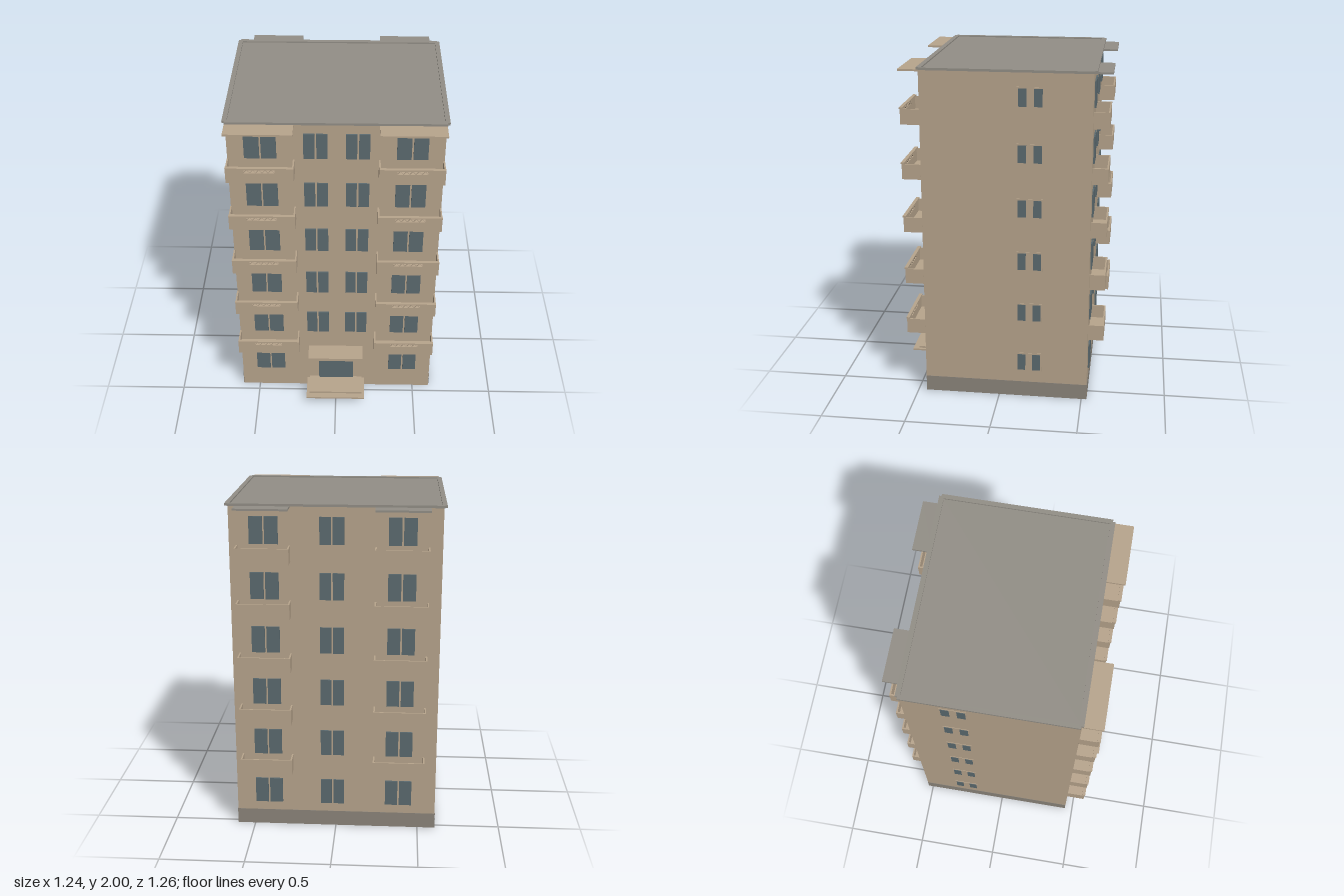
import * as THREE from 'three';

const paint = (name, color) => {
  const m = new THREE.MeshStandardMaterial({ color });
  m.name = name;
  return m;
};

export function createModel() {
  const tan = paint('tan wall', 0xb8a58d);
  tan.side = THREE.DoubleSide;
  const grey = paint('grey roof', 0x938f87);
  const plinthGrey = paint('grey plinth', 0x8c857b);
  const glass = paint('blue grey glass', 0x5c6b70);

  const model = new THREE.Group();
  model.name = 'apartmentBlock';

  // Box given by its limits on each axis
  const box = (parent, name, mat, x0, x1, y0, y1, z0, z1) => {
    const mesh = new THREE.Mesh(new THREE.BoxGeometry(x1 - x0, y1 - y0, z1 - z0), mat);
    mesh.position.set((x0 + x1) / 2, (y0 + y1) / 2, (z0 + z1) / 2);
    mesh.name = name;
    parent.add(mesh);
    return mesh;
  };
  const group = (name) => {
    const g = new THREE.Group();
    g.name = name;
    model.add(g);
    return g;
  };

  const W = 0.605, FRONT = 0.45, BACK = -0.53, TOP = 1.985, STOREY = 0.3235;
  const midZ = (FRONT + BACK) / 2, depth = FRONT - BACK;

  // Hollow shell, open underneath
  const walls = group('walls');
  const wall = (name, width, x, z, turn) => {
    const mesh = new THREE.Mesh(new THREE.PlaneGeometry(width, TOP), tan);
    mesh.position.set(x, TOP / 2, z);
    mesh.rotation.y = turn;
    mesh.name = name;
    walls.add(mesh);
  };
  wall('frontWall', 2 * W, 0, FRONT, 0);
  wall('backWall', 2 * W, 0, BACK, Math.PI);
  wall('leftWall', depth, W, midZ, Math.PI / 2);
  wall('rightWall', depth, -W, midZ, -Math.PI / 2);

  // Plinth band on the sides and back
  const plinth = group('plinth');
  for (const s of [-1, 1]) {
    const x = s * (W + 0.0015);
    box(plinth, 'sidePlinth', plinthGrey, x - 0.001, x + 0.001, 0, 0.095, BACK, FRONT);
  }
  box(plinth, 'backPlinth', plinthGrey, -W, W, 0, 0.095, BACK - 0.0025, BACK - 0.0005);

  // Roof deck with a raised rim
  const roof = group('roof');
  box(roof, 'roofDeck', grey, -0.6, 0.6, 1.97, 1.992, -0.525, 0.445);
  for (const s of [-1, 1]) {
    box(roof, 'sideRim', grey, Math.min(s * 0.595, s * 0.622), Math.max(s * 0.595, s * 0.622), 1.986, 2, -0.535, 0.446);
  }
  box(roof, 'frontRim', grey, -0.608, 0.608, 1.986, 2, 0.432, 0.46);
  box(roof, 'backRim', grey, -0.608, 0.608, 1.986, 2, -0.548, -0.52);

  // Two-pane windows on the front and back
  const windows = group('windows');
  const pairWindow = (x0, x1, y, z) => {
    const mid = (x0 + x1) / 2, gap = 0.005;
    box(windows, 'windowPane', glass, x0, mid - gap, y, y + 0.158, z - 0.009, z + 0.009);
    box(windows, 'windowPane', glass, mid + gap, x1, y, y + 0.158, z - 0.009, z + 0.009);
  };

  // Side window: thin frame with a pane at each end
  const sideWindow = (s, y, z) => {
    const at = (name, mat, a, b, c, d, out) => {
      const x = s * W;
      box(windows, name, mat, x - out, x + out, y + c, y + d, z + a, z + b);
    };
    at('sideWindowFrame', tan, -0.076, 0.076, -0.06, 0.06, 0.003);
    for (const k of [-1, 1]) {
      at('sideWindowPane', glass, k * 0.045 - 0.024, k * 0.045 + 0.024, -0.051, 0.051, 0.005);
    }
  };

  for (let i = 0; i < 6; i++) {
    const y = 0.152 + i * STOREY;
    for (const [a, b] of [[-0.51, -0.33], [0.338, 0.512]]) pairWindow(a, b, y, FRONT);
    if (i > 0) for (const [a, b] of [[-0.18, -0.045], [0.057, 0.19]]) pairWindow(a, b, y, FRONT);
    for (const [a, b] of [[-0.46, -0.3], [-0.05, 0.09], [0.325, 0.49]]) pairWindow(a, b, y, BACK);
    sideWindow(1, 0.226 + i * STOREY, -0.18);
    sideWindow(-1, 0.226 + i * STOREY, -0.245);
  }

  // Front parapet panel with a slot filled by a zigzag lattice
  const parapet = (parent, x0, x1, cx, y) => {
    const shape = new THREE.Shape();
    shape.moveTo(x0, 0).lineTo(x1, 0).lineTo(x1, 0.09).lineTo(x0, 0.09).closePath();
    const a = cx - 0.085, b = cx + 0.085, lo = 0.066, hi = 0.086;
    const slot = new THREE.Path();
    slot.moveTo(a, lo).lineTo(a, hi).lineTo(b, hi).lineTo(b, lo).closePath();
    shape.holes.push(slot);
    const panel = new THREE.Mesh(new THREE.ExtrudeGeometry(shape, { depth: 0.009, bevelEnabled: false }), tan);
    panel.position.set(0, y, 0.551);
    panel.name = 'balconyFront';
    parent.add(panel);
    const n = 10, step = (b - a) / n;
    for (let k = 0; k < n; k++) {
      const cxk = a + (k + 0.5) * step;
      const bar = box(parent, 'latticeBar', tan, cxk - 0.013, cxk + 0.013, y + 0.0745, y + 0.0775, 0.553, 0.558);
      bar.rotation.z = (k % 2 ? -1 : 1) * Math.atan2(hi - lo, step);
    }
  };

  // Balconies on five upper storeys
  const frontBays = [[-0.608, -0.23, -0.42], [0.24, 0.606, 0.425]];
  const backBays = [[-0.533, -0.225], [0.257, 0.565]];
  const balconies = group('balconies');
  for (let i = 0; i < 5; i++) {
    const y = 0.38 + i * STOREY * 0.997;
    for (const [x0, x1, cx] of frontBays) {
      box(balconies, 'balconyFloor', tan, x0, x1, y, y + 0.014, FRONT, 0.56);
      box(balconies, 'balconyEnd', tan, x0, x0 + 0.009, y, y + 0.09, FRONT, 0.56);
      box(balconies, 'balconyEnd', tan, x1 - 0.009, x1, y, y + 0.09, FRONT, 0.56);
      parapet(balconies, x0, x1, cx, y);
      box(balconies, 'balconyRail', tan, x0, x1, y + 0.09, y + 0.099, 0.545, 0.565);
    }
    for (const [x0, x1] of backBays) {
      box(balconies, 'balconyFloor', tan, x0, x1, y - 0.004, y + 0.01, -0.622, BACK);
      box(balconies, 'balconyEnd', tan, x0, x0 + 0.009, y - 0.004, y + 0.09, -0.622, BACK);
      box(balconies, 'balconyEnd', tan, x1 - 0.009, x1, y - 0.004, y + 0.09, -0.622, BACK);
      box(balconies, 'balconyBack', tan, x0, x1, y - 0.004, y + 0.09, -0.622, -0.613);
    }
  }

  // Slabs sheltering the top balconies
  for (const [x0, x1] of frontBays) box(balconies, 'topShelter', tan, x0, x1, 1.976, 1.987, 0.44, 0.567);
  for (const [x0, x1] of backBays) box(balconies, 'topShelter', grey, x0, x1, 1.976, 1.987, -0.634, -0.52);

  // Entrance
  const entrance = group('entrance');
  box(entrance, 'door', glass, -0.11, 0.11, 0.07, 0.308, FRONT - 0.009, FRONT + 0.009);
  box(entrance, 'doorCanopy', tan, -0.173, 0.17, 0.325, 0.345, 0.34, 0.57);
  box(entrance, 'upperStep', tan, -0.17, 0.167, 0.06, 0.072, 0.43, 0.592);
  box(entrance, 'lowerStep', tan, -0.187, 0.184, 0.05, 0.06, 0.43, 0.63);

  return model;
}
